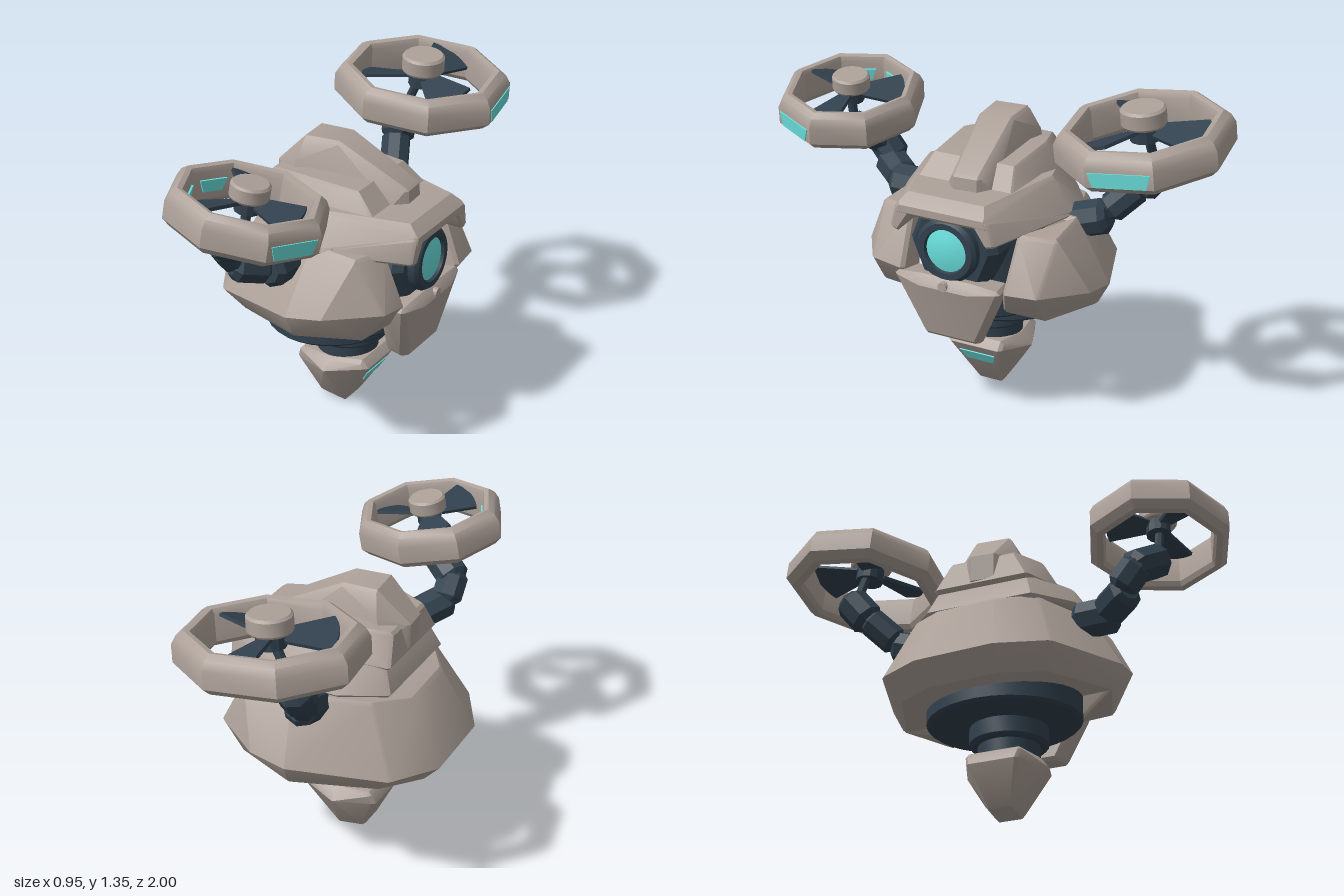
import * as THREE from 'three';
import { toCreasedNormals } from 'three/addons/utils/BufferGeometryUtils.js';
import { ConvexGeometry } from 'three/addons/geometries/ConvexGeometry.js';

const mat = (name, color) => Object.assign(new THREE.MeshStandardMaterial({ color }), { name });
const points2 = (list) => list.map((p) => new THREE.Vector2(...p));

export function createModel() {
  const armor = mat('warm grey armour', 0xada199);
  const dark = mat('dark slate', 0x31414e);
  const glow = mat('cyan light', 0x6be2df);
  const root = new THREE.Group();
  root.name = 'hoverDrone';

  const add = (name, geo, material, parent = root) => {
    const mesh = new THREE.Mesh(toCreasedNormals(geo, 0.5), material);
    mesh.name = name;
    parent.add(mesh);
    return mesh;
  };

  // Bevelled convex block: every corner becomes a small octahedron before hulling
  const block = (name, corners, bevel, parent = root) => {
    const pts = [];
    for (const [x, y, z] of corners)
      for (const s of [-bevel, bevel])
        pts.push(new THREE.Vector3(x + s, y, z), new THREE.Vector3(x, y + s, z), new THREE.Vector3(x, y, z + s));
    return add(name, new ConvexGeometry(pts), armor, parent);
  };
  const bothSides = (pts) => pts.flatMap(([x, y, z]) => [[x, y, z], [x, y, -z]]);
  const flipZ = (pts, s) => pts.map(([x, y, z]) => [x, y, z * s]);

  // Thin trapezoid light facing +x, wider at the top
  const lightPlate = (name, w, h, parent = root) => {
    const s = new THREE.Shape(points2([[-w / 2, h / 2], [-w / 2 + 0.02, -h / 2], [w / 2 - 0.02, -h / 2], [w / 2, h / 2]]));
    const geo = new THREE.ExtrudeGeometry(s, { depth: 0.008, bevelEnabled: false });
    return add(name, geo.rotateY(Math.PI / 2), glow, parent);
  };

  const drum = (name, r, y0, y1, x) => {
    const b = 0.012, h = y1 - y0;
    const profile = [[0, 0], [r - b, 0], [r, b], [r, h - b], [r - b, h], [0, h]];
    const m = add(name, new THREE.LatheGeometry(points2(profile), 32), dark);
    m.position.set(x, y0, 0);
    return m;
  };

  // Main shell: faceted back and two cheeks, slightly rolled
  const shell = new THREE.Group();
  shell.name = 'shell';
  shell.rotation.x = -0.035;
  root.add(shell);
  const seam = [[0.07, 0.84, 0.37], [0.04, 0.585, 0.505], [0.05, 0.5, 0.465]];
  block('shellBack', bothSides([
    [-0.335, 0.79, 0.13], [-0.23, 0.82, 0.27],
    [-0.465, 0.53, 0.17], [-0.35, 0.55, 0.36],
    [-0.4, 0.455, 0.15], [-0.28, 0.475, 0.32], ...seam,
  ]), 0.015, shell);
  for (const s of [1, -1])
    block('shellCheek', flipZ([
      ...seam, [0.28, 0.83, 0.385], [0.32, 0.83, 0.25],
      [0.2, 0.61, 0.495], [0.395, 0.63, 0.37], [0.405, 0.62, 0.24],
      [0.31, 0.51, 0.37], [0.34, 0.52, 0.21],
    ], s), 0.015, shell);

  // Dark core, turntable and neck
  drum('core', 0.27, 0.42, 0.88, 0.05);
  drum('turntable', 0.29, 0.39, 0.53, -0.012).scale.z = 1.13;
  drum('upperNeck', 0.165, 0.31, 0.41, 0.035);
  drum('lowerNeck', 0.13, 0.22, 0.33, 0.035);

  // Lower pod and its light
  block('lowerPod', bothSides([
    [-0.12, 0.23, 0.11], [0.03, 0.235, 0.135], [0.17, 0.245, 0.11],
    [-0.135, 0.19, 0.1], [0.02, 0.195, 0.165], [0.185, 0.225, 0.11],
    [-0.06, 0.035, 0.05], [0.05, 0.017, 0.05],
  ]), 0.015);
  const podLight = lightPlate('podLight', 0.165, 0.055);
  podLight.position.set(0.156, 0.163, 0);
  podLight.rotation.z = -0.55;

  // Brow: broad roof plate with lowered sides framing the eye
  block('brow', bothSides([
    [0.455, 0.9, 0.2], [0.455, 0.93, 0.19], [0.42, 0.96, 0.17], [0.08, 0.86, 0.36], [0.05, 0.98, 0.28],
    [-0.1, 0.85, 0.34], [-0.265, 0.835, 0.23], [-0.22, 0.95, 0.19],
  ]), 0.014);
  for (const s of [1, -1])
    block('browSide', flipZ([
      [0.455, 0.9, 0.15], [0.455, 0.825, 0.2], [0.45, 0.83, 0.225], [0.455, 0.92, 0.2],
      [0.2, 0.83, 0.21], [0.08, 0.85, 0.365], [0.1, 0.95, 0.28], [0.2, 0.93, 0.17],
    ], s), 0.012);

  // Crown and crest on top of the head
  block('crown', bothSides([
    [-0.25, 0.94, 0.2], [-0.05, 0.96, 0.25], [0.28, 0.96, 0.21],
    [-0.23, 1.05, 0.14], [-0.07, 1.07, 0.19], [0.19, 1.05, 0.18],
  ]), 0.013);
  const crest = block('crest', bothSides([
    [0.315, 0.96, 0.05], [0.31, 1.03, 0.05], [0.02, 1.185, 0.065], [-0.13, 1.185, 0.07], [-0.255, 1.06, 0.05],
    [-0.25, 0.95, 0.05], [-0.17, 0.97, 0.125], [0.27, 0.97, 0.09], [-0.15, 1.1, 0.11],
  ]), 0.013);
  crest.position.z = -0.01;
  crest.rotation.y = 0.07;

  // Eye: stepped housing with a cyan lens
  const eye = new THREE.Group();
  eye.name = 'eye';
  eye.position.set(0.25, 0.75, 0);
  eye.rotation.z = -Math.PI / 2;
  root.add(eye);
  const turned = (name, profile, sides, material) =>
    add(name, new THREE.LatheGeometry(points2(profile), sides), material, eye);
  turned('eyeHousing', [[0.2, 0], [0.2, 0.1], [0.17, 0.14], [0, 0.14]], 8, dark);
  turned('eyeRing', [[0.135, 0.1], [0.135, 0.17], [0.12, 0.185], [0.095, 0.185], [0.088, 0.165]], 32, dark);
  turned('eyeLens', [[0.092, 0.13], [0.09, 0.172], [0.05, 0.182], [0, 0.186]], 32, glow);

  // Chin plate and its bolt
  block('chinPlate', bothSides([
    [0.43, 0.62, 0.11], [0.42, 0.605, 0.225], [0.445, 0.59, 0.11], [0.32, 0.6, 0.21],
    [0.385, 0.36, 0.11], [0.36, 0.355, 0.12], [0.295, 0.355, 0.1], [0.315, 0.5, 0.17],
  ]), 0.014);
  const bolt = add('chinBolt', new THREE.CylinderGeometry(0.02, 0.022, 0.02, 12), armor);
  bolt.position.set(0.452, 0.605, 0);
  bolt.rotation.z = -Math.PI / 2;

  // Jointed arms: a chain of blunt eight-sided links
  const link = (name, a, b, r) => {
    const A = new THREE.Vector3(...a), B = new THREE.Vector3(...b);
    const dir = B.clone().sub(A), h = dir.length() / 2, c = Math.min(0.025, r * 0.4);
    const profile = [[0, -h], [r - c, -h], [r, c - h], [r, h - c], [r - c, h], [0, h]];
    const m = add(name, new THREE.LatheGeometry(points2(profile), 8), dark);
    m.position.copy(A).add(B).multiplyScalar(0.5);
    m.quaternion.setFromUnitVectors(new THREE.Vector3(0, 1, 0), dir.normalize());
  };
  link('frontShoulder', [-0.035, 0.79, 0.33], [-0.035, 0.795, 0.51], 0.08);
  link('frontUpperArm', [-0.05, 0.8, 0.47], [-0.14, 0.84, 0.6], 0.075);
  link('frontElbow', [-0.14, 0.84, 0.56], [-0.14, 0.95, 0.65], 0.07);
  link('frontForearm', [-0.16, 0.92, 0.62], [-0.01, 1.015, 0.7], 0.074);
  link('frontMount', [-0.02, 1.0, 0.69], [0.01, 1.19, 0.695], 0.02);
  link('backShoulder', [0, 0.79, -0.34], [-0.01, 0.845, -0.51], 0.076);
  link('backUpperArm', [-0.03, 0.85, -0.49], [-0.085, 0.97, -0.61], 0.064);
  link('backElbow', [-0.08, 0.95, -0.6], [-0.1, 1.075, -0.7], 0.076);
  link('backMount', [-0.1, 1.03, -0.67], [0.01, 1.26, -0.665], 0.02);

  // Ducted fan: eight-sided ring, three pitched blades, hub and a rim light
  const fan = (name, pos, tiltX, tiltZ, k, yaw, bladeTurn, lightWidth, innerLights) => {
    const g = new THREE.Group();
    g.name = name;
    g.position.set(...pos);
    g.rotation.set(tiltX, 0, tiltZ);
    root.add(g);
    const duct = new THREE.Group();
    duct.name = 'duct';
    duct.scale.z = 0.915;
    g.add(duct);
    const rim = new THREE.Group();
    rim.name = 'rim';
    rim.rotation.y = yaw;
    duct.add(rim);
    const profile = [[0.3, -0.06], [0.315, -0.08], [0.35, -0.08], [0.385, -0.05], [0.385, 0.025],
      [0.365, 0.06], [0.335, 0.08], [0.31, 0.075], [0.3, 0.055], [0.3, -0.06]];
    const ring = new THREE.LatheGeometry(points2(profile.map(([r, y]) => [r * k, y])), 8, Math.PI / 8);
    add('ring', ring, armor, rim);
    lightPlate('rimLight', lightWidth, 0.06, rim).position.set(0.352 * k, -0.018, 0);
    for (const turn of innerLights) {
      const holder = new THREE.Group();
      holder.name = 'innerLightHolder';
      holder.rotation.y = turn;
      rim.add(holder);
      const light = lightPlate('innerLight', 0.13, 0.05, holder);
      light.position.x = -0.277 * k + 0.004;
    }

    const s = new THREE.Shape();
    s.moveTo(0.05, -0.04);
    s.lineTo(0.22, -0.105);
    s.quadraticCurveTo(0.285, 0, 0.245, 0.09);
    s.lineTo(0.05, 0.04);
    for (let i = 0; i < 3; i++) {
      const blade = new THREE.ExtrudeGeometry(s, { depth: 0.014, bevelEnabled: false });
      blade.scale(k, k, 1).rotateX(-Math.PI / 2 + 0.3).rotateY(bladeTurn + (i * Math.PI * 2) / 3);
      add('blade', blade, dark, g).position.y = 0.035;
    }
    const hub = [[0, 0.06], [0.085, 0.06], [0.092, 0.07], [0.092, 0.125], [0.082, 0.135], [0, 0.135]];
    add('hub', new THREE.LatheGeometry(points2(hub.map(([r, y]) => [r * k, y * (k + 0.03)])), 20), armor, g);
    add('hubBase', new THREE.CylinderGeometry(0.06 * k, 0.06 * k, 0.07, 12), dark, g).position.y = 0.035;
  };
  fan('frontFan', [0.002, 1.138, 0.69], -0.065, -0.145, 0.86, -0.39, 0.05, 0.22, [-Math.PI / 4, Math.PI / 4 - Math.PI / 2 + Math.PI / 4]
    .map((_, i) => (i ? Math.PI / 4 : 0)));
  fan('backFan', [0.008, 1.205, -0.662], 0.07, -0.085, 1, 0.14, Math.PI / 2, 0.27, []);

  return root;
}
